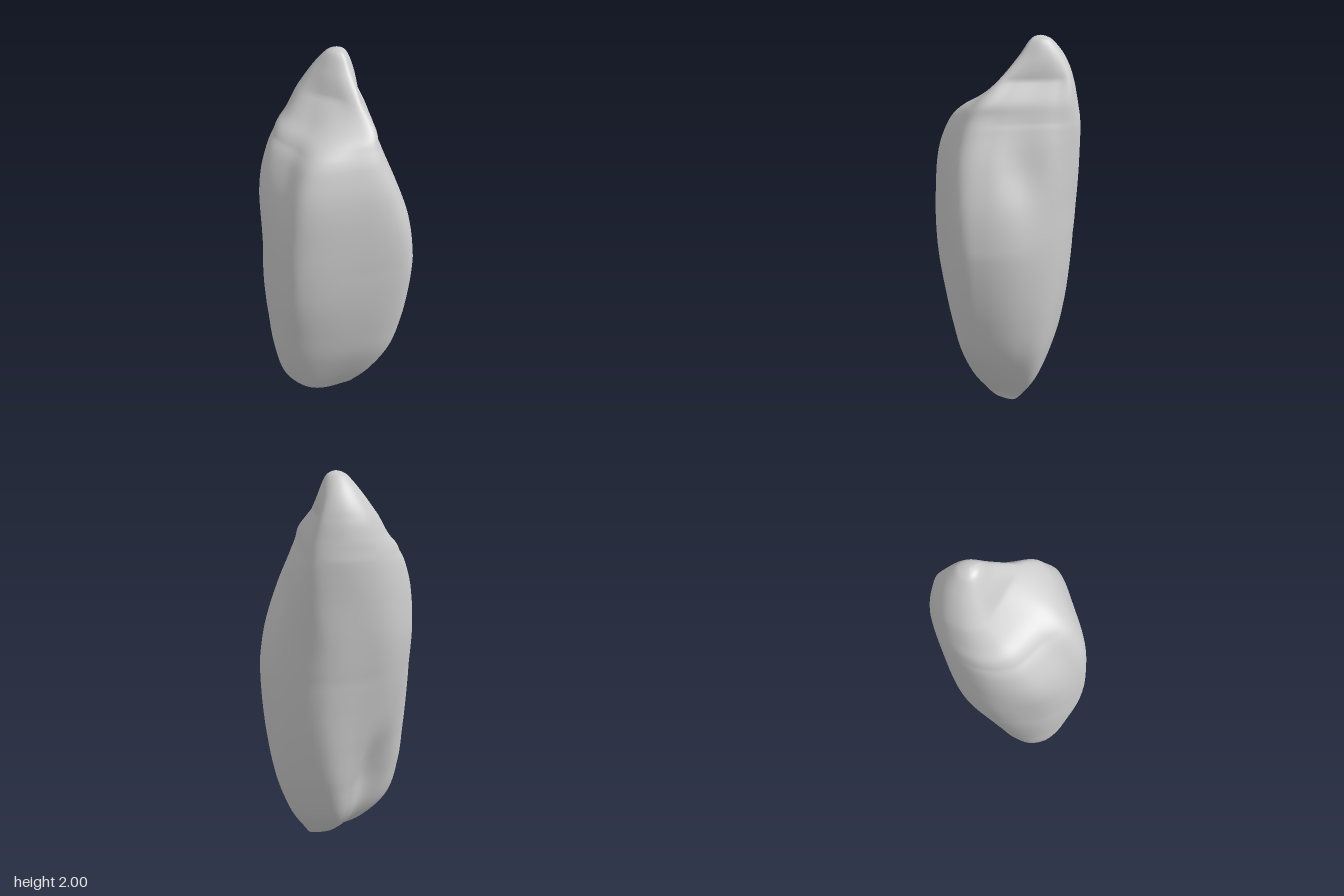
import * as THREE from 'three';
import { mergeVertices } from 'three/addons/utils/BufferGeometryUtils.js';

// Extents by height: y, xMin, xMax, zMin, zMax, and which outline is used (0 base .. 4 tip)
const LEVELS = [
  [0, 0.07, 0.07, 0.06, 0.06, 0],
  [0.012, -0.08, 0.155, 0.0, 0.085, 0],
  [0.06, -0.215, 0.2, -0.085, 0.12, 0],
  [0.2, -0.32, 0.29, -0.19, 0.22, 0.05],
  [0.4, -0.37, 0.355, -0.25, 0.32, 0.3],
  [0.6, -0.388, 0.382, -0.29, 0.365, 0.6],
  [0.8, -0.4, 0.392, -0.335, 0.39, 0.85],
  [1.0, -0.398, 0.39, -0.372, 0.4, 1],
  [1.2, -0.385, 0.376, -0.392, 0.385, 1.15],
  [1.4, -0.345, 0.36, -0.387, 0.34, 1.5],
  [1.54, -0.285, 0.35, -0.377, 0.285, 1.82],
  [1.62, -0.22, 0.338, -0.367, 0.245, 2.05],
  [1.7, -0.115, 0.32, -0.35, 0.195, 2.45],
  [1.8, -0.03, 0.288, -0.32, 0.08, 3],
  [1.9, 0.035, 0.24, -0.265, -0.02, 3.6],
  [1.97, 0.08, 0.195, -0.205, -0.075, 3.95],
  [1.992, 0.105, 0.165, -0.17, -0.105, 4],
  [2, 0.135, 0.135, -0.137, -0.137, 4],
];

// Outlines as x, z pairs, running from the front ridge round by the +x side
const BASE = [[0.03, 0.22], [0.14, 0.18], [0.24, 0.11], [0.29, 0.02], [0.18, -0.16], [0.07, -0.18],
  [-0.04, -0.16], [-0.15, -0.19], [-0.26, -0.16], [-0.32, -0.07], [-0.26, 0.04], [-0.1, 0.15]];
const MIDDLE = [[0.11, 0.4], [0.24, 0.335], [0.35, 0.18], [0.395, -0.04], [0.32, -0.24], [0.12, -0.35],
  [-0.04, -0.395], [-0.22, -0.34], [-0.37, -0.18], [-0.4, 0.04], [-0.35, 0.15], [-0.14, 0.28]];
const SHOULDER = [[0.06, 0.24], [0.145, 0.15], [0.225, 0.04], [0.3, -0.08], [0.335, -0.2], [0.24, -0.31],
  [0.08, -0.365], [-0.08, -0.33], [-0.18, -0.22], [-0.19, -0.06], [-0.2, 0.09], [-0.06, 0.195]];
const CROWN = [[0.08, 0.1], [0.13, 0.04], [0.19, -0.04], [0.26, -0.13], [0.295, -0.2], [0.22, -0.285],
  [0.11, -0.325], [0, -0.295], [-0.045, -0.22], [-0.02, -0.12], [0.01, -0.02], [0.04, 0.07]];
const TIP = [[-0.15, 1], [0.35, 0.8], [0.75, 0.45], [1, -0.05], [0.9, -0.55], [0.5, -0.9],
  [0, -1], [-0.55, -0.85], [-0.9, -0.5], [-1, 0], [-0.85, 0.45], [-0.55, 0.8]];

// Hollows: centre x, y, z, radius, height radius, depth
const HOLLOWS = [
  [-0.02, 0.44, -0.23, 0.11, 0.24, 0.045],
  [0.27, 1.33, 0.1, 0.11, 0.22, 0.035],
  [-0.33, 1.15, -0.2, 0.12, 0.2, 0.02],
];

const SEGMENTS = 96;
const STEPS = 8;

function spline(a, b, c, d, t) {
  return 0.5 * (2 * b + (c - a) * t + (2 * a - 5 * b + 4 * c - d) * t * t
    + (3 * b - a - 3 * c + d) * t * t * t);
}

function levelAt(s) {
  const last = LEVELS.length - 1;
  const i = Math.min(Math.floor(s), last - 1);
  const row = (k) => LEVELS[Math.max(0, Math.min(last, k))];
  return LEVELS[0].map((_, k) => spline(row(i - 1)[k], row(i)[k], row(i + 1)[k], row(i + 2)[k], s - i));
}

// Centre an outline and scale it to fill -1..1 both ways
function fill(ring) {
  const [xs, zs] = [0, 1].map((k) => {
    const values = ring.map((p) => p[k]);
    const min = Math.min(...values);
    const max = Math.max(...values);
    return values.map((v) => ((v - min) / (max - min)) * 2 - 1);
  });
  return xs.map((x, i) => [x, zs[i]]);
}

const OUTLINES = [BASE, MIDDLE, SHOULDER, CROWN, TIP].map(fill);

// Closed outline blended between two neighbours in the list
function outlineAt(mix) {
  const m = THREE.MathUtils.clamp(mix, 0, OUTLINES.length - 1);
  const lower = Math.min(Math.floor(m), OUTLINES.length - 2);
  const pts = OUTLINES[lower].map((p, i) => p.map((v, k) =>
    THREE.MathUtils.lerp(v, OUTLINES[lower + 1][i][k], m - lower)));
  const n = pts.length;
  const at = (k) => pts[(k + n) % n];
  const ring = [];
  for (let j = 0; j < SEGMENTS; j++) {
    const s = (j / SEGMENTS) * n;
    const i = Math.floor(s);
    ring.push([0, 1].map((k) => spline(at(i - 1)[k], at(i)[k], at(i + 1)[k], at(i + 2)[k], s - i)));
  }
  return fill(ring);
}

function stoneGeometry() {
  const positions = [];
  const indices = [];
  const rows = (LEVELS.length - 1) * STEPS;
  for (let r = 0; r <= rows; r++) {
    const [y, x0, x1, z0, z1, mix] = levelAt(r / STEPS);
    for (const [u, v] of outlineAt(mix)) {
      let x = (x0 + x1) / 2 + (u * (x1 - x0)) / 2;
      let z = (z0 + z1) / 2 + (v * (z1 - z0)) / 2;
      // press the hollows in towards the axis
      for (const [hx, hy, hz, radius, tall, depth] of HOLLOWS) {
        const d = ((x - hx) ** 2 + (z - hz) ** 2) / radius ** 2 + ((y - hy) / tall) ** 2;
        const push = (depth * Math.exp(-d)) / Math.hypot(hx, hz);
        x -= hx * push;
        z -= hz * push;
      }
      positions.push(x, THREE.MathUtils.clamp(y, 0, 2), z);
    }
  }
  for (let r = 0; r < rows; r++) {
    for (let j = 0; j < SEGMENTS; j++) {
      const a = r * SEGMENTS + j;
      const b = r * SEGMENTS + ((j + 1) % SEGMENTS);
      indices.push(a, b, b + SEGMENTS, a, b + SEGMENTS, a + SEGMENTS);
    }
  }
  let geometry = new THREE.BufferGeometry();
  geometry.setAttribute('position', new THREE.Float32BufferAttribute(positions, 3));
  geometry.setIndex(indices);
  geometry = mergeVertices(geometry, 1e-5);
  geometry.computeVertexNormals();
  return geometry;
}

export function createModel() {
  const group = new THREE.Group();
  group.name = 'standingStone';
  const stone = new THREE.Mesh(stoneGeometry(), new THREE.MeshStandardMaterial({ color: 0xcccccc }));
  stone.name = 'stone';
  group.add(stone);
  return group;
}
